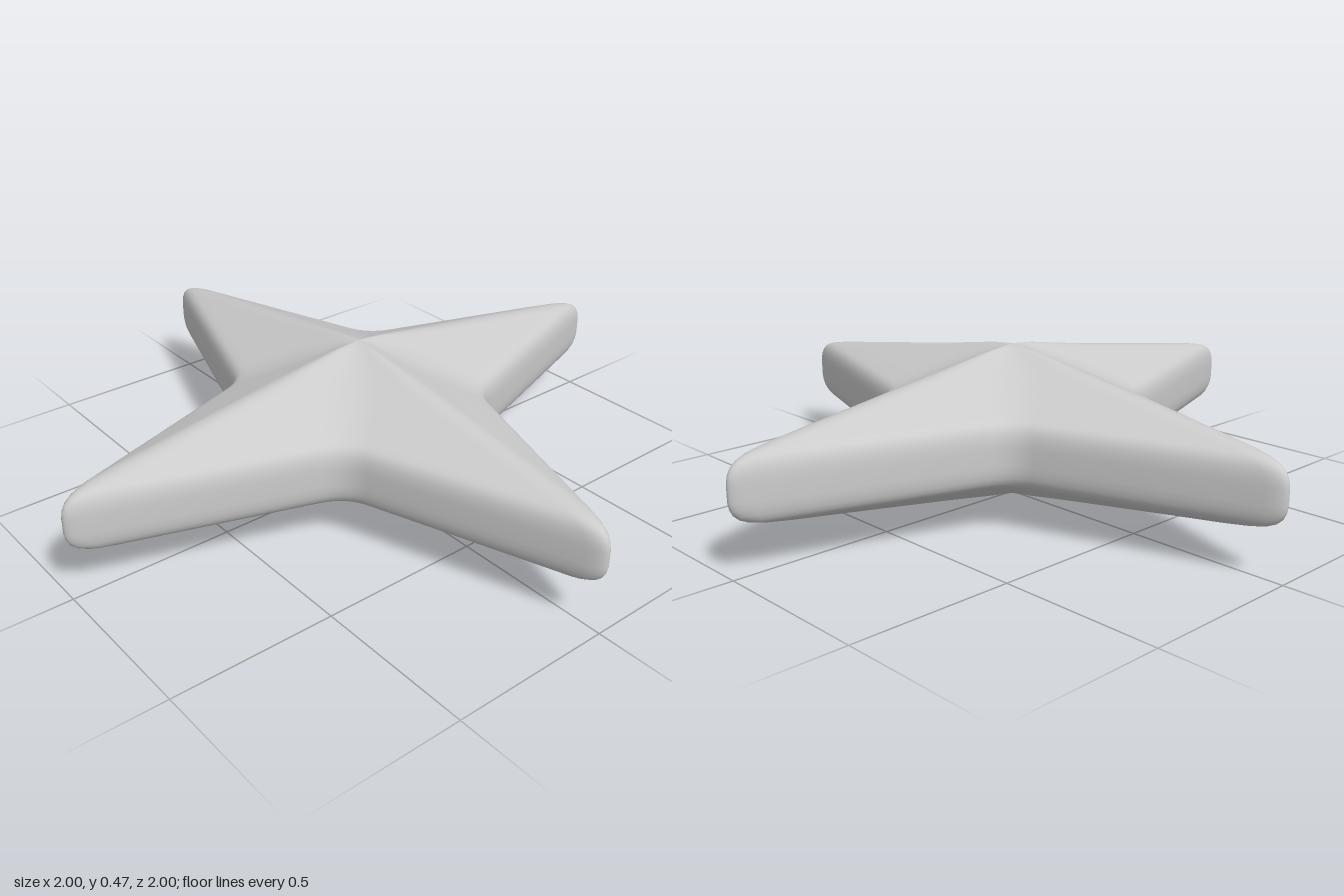
import * as THREE from 'three';

const TIP = 1.05;    // unrounded arm tip
const SLOPE = 0.34;  // taper of each arm side
const INNER = TIP * SLOPE / (1 + SLOPE); // unrounded inner corner
const MID = 0.2375;  // height of the middle plane

// Four-pointed outline with rounded tips and inner corners; k widens the rounding.
function starOutline(k) {
  const tipX = TIP - 0.1 * k, innerX = INNER + 0.074 * k;
  const side = x => SLOPE * (TIP - x);
  const v = (x, z) => new THREE.Vector2(x, z);
  const tip = new THREE.QuadraticBezierCurve(v(tipX, -side(tipX)), v(TIP, 0), v(tipX, side(tipX)));
  const inner = new THREE.QuadraticBezierCurve(v(innerX, side(innerX)), v(INNER, INNER), v(side(innerX), innerX));
  const end = v(side(tipX), tipX); // where the next arm's tip begins
  const steps = [0.1, 0.35, 0.65, 0.9];
  const arm = [
    ...tip.getPoints(16),
    ...steps.map(s => tip.v2.clone().lerp(inner.v0, s)),
    ...inner.getPoints(16),
    ...steps.map(s => inner.v2.clone().lerp(end, s)),
  ];
  const points = [];
  for (let q = 0; q < 4; q++) {
    for (const p of arm) points.push(p.clone().rotateAround(v(0, 0), q * Math.PI / 2));
  }
  return points;
}

// Upper half profile: [scale of outline, height above middle plane]
const upper = [
  [0.02, 0.2365], [0.05, 0.234], [0.1, 0.229], [0.2, 0.213], [0.35, 0.189], [0.5, 0.165],
  [0.7, 0.133], [0.86, 0.108], [0.92, 0.097], [0.95, 0.089], [0.972, 0.078],
  [0.987, 0.064], [0.996, 0.046], [1, 0.025],
];

function starGeometry() {
  const profile = [...upper, ...upper.slice().reverse().map(([s, h]) => [s, -h])];
  const positions = [0, MID + 0.2375, 0];
  let n = 0;
  for (const [s, h] of profile) {
    const ring = starOutline(Math.min(1 / s, 3));
    n = ring.length;
    for (const p of ring) positions.push(p.x * s, MID + h, p.y * s);
  }
  positions.push(0, 0, 0);
  const last = positions.length / 3 - 1;
  const id = (i, j) => 1 + i * n + j % n;

  const index = [];
  for (let j = 0; j < n; j++) {
    index.push(0, id(0, j + 1), id(0, j));
    for (let i = 0; i < profile.length - 1; i++) {
      const a = id(i, j), b = id(i, j + 1), c = id(i + 1, j), d = id(i + 1, j + 1);
      index.push(a, b, d, a, d, c);
    }
    index.push(last, id(profile.length - 1, j), id(profile.length - 1, j + 1));
  }
  const geometry = new THREE.BufferGeometry();
  geometry.setAttribute('position', new THREE.Float32BufferAttribute(positions, 3));
  geometry.setIndex(index);
  geometry.computeVertexNormals();
  return geometry;
}

export function createModel() {
  const group = new THREE.Group();
  group.name = 'fourPointedStar';
  const star = new THREE.Mesh(starGeometry(), new THREE.MeshStandardMaterial({ color: 0xcccccc }));
  star.name = 'starBody';
  group.add(star);
  return group;
}
